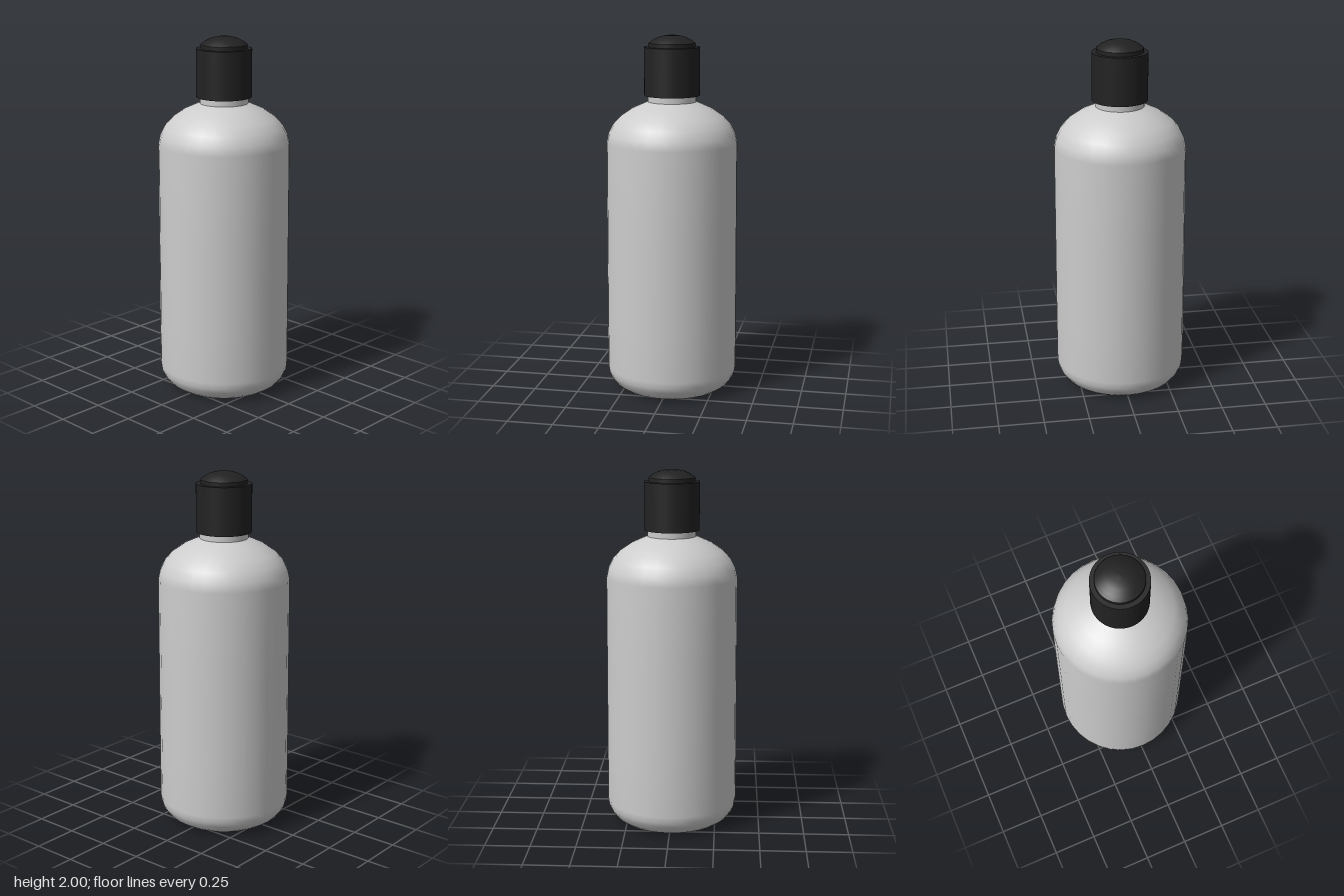
import * as THREE from 'three';

const plastic = new THREE.MeshStandardMaterial({ color: 0xcccccc });
plastic.name = 'light grey plastic';
const black = new THREE.MeshStandardMaterial({ color: 0x222222 });
black.name = 'black plastic';

// Revolves a profile, listed from the underside outwards and up.
function turned(name, profile, material, segments) {
  const points = profile.map(([r, y]) => new THREE.Vector2(r, y));
  const mesh = new THREE.Mesh(new THREE.LatheGeometry(points, segments), material);
  mesh.name = name;
  return mesh;
}

export function createModel() {
  const model = new THREE.Group();
  model.name = 'bottle';

  // Bottle: each smooth run is its own lathe, so the creases stay sharp.
  const bottle = new THREE.Group();
  bottle.name = 'body';
  const runs = {
    baseDimple: [[0, 0.06], [0.11, 0.06], [0.128, 0.045]],
    baseFloor: [[0.128, 0.045], [0.21, 0.04]],
    baseRecessWall: [[0.21, 0.04], [0.235, 0.015], [0.245, 0.004]],
    baseRim: [[0.245, 0.004], [0.265, 0]],
    wall: [
      [0.265, 0], [0.295, 0.009], [0.325, 0.03], [0.35, 0.062], [0.362, 0.09], [0.367, 0.125],
      [0.367, 0.4], [0.365, 0.9], [0.363, 1.41],
      [0.352, 1.46], [0.327, 1.51], [0.285, 1.555], [0.222, 1.598], [0.17, 1.621], [0.134, 1.636],
    ],
    neck: [[0.134, 1.636], [0.134, 1.7]],
  };
  for (const [name, profile] of Object.entries(runs)) {
    bottle.add(turned(name, profile, plastic, 32));
  }

  // Cap: sleeve with a low domed button on top.
  const cap = new THREE.Group();
  cap.name = 'cap';
  const capRuns = {
    capUnderside: [[0.13, 1.67], [0.153, 1.67]],
    capSleeve: [[0.153, 1.67], [0.153, 1.935]],
    capTop: [[0.153, 1.935], [0.128, 1.935]],
    buttonSide: [[0.128, 1.935], [0.128, 1.957]],
    buttonDome: [[0.128, 1.957], [0.105, 1.974], [0.075, 1.989], [0.04, 1.998], [0, 2]],
  };
  for (const [name, profile] of Object.entries(capRuns)) {
    cap.add(turned(name, profile, black, 64));
  }

  model.add(bottle, cap);
  return model;
}
